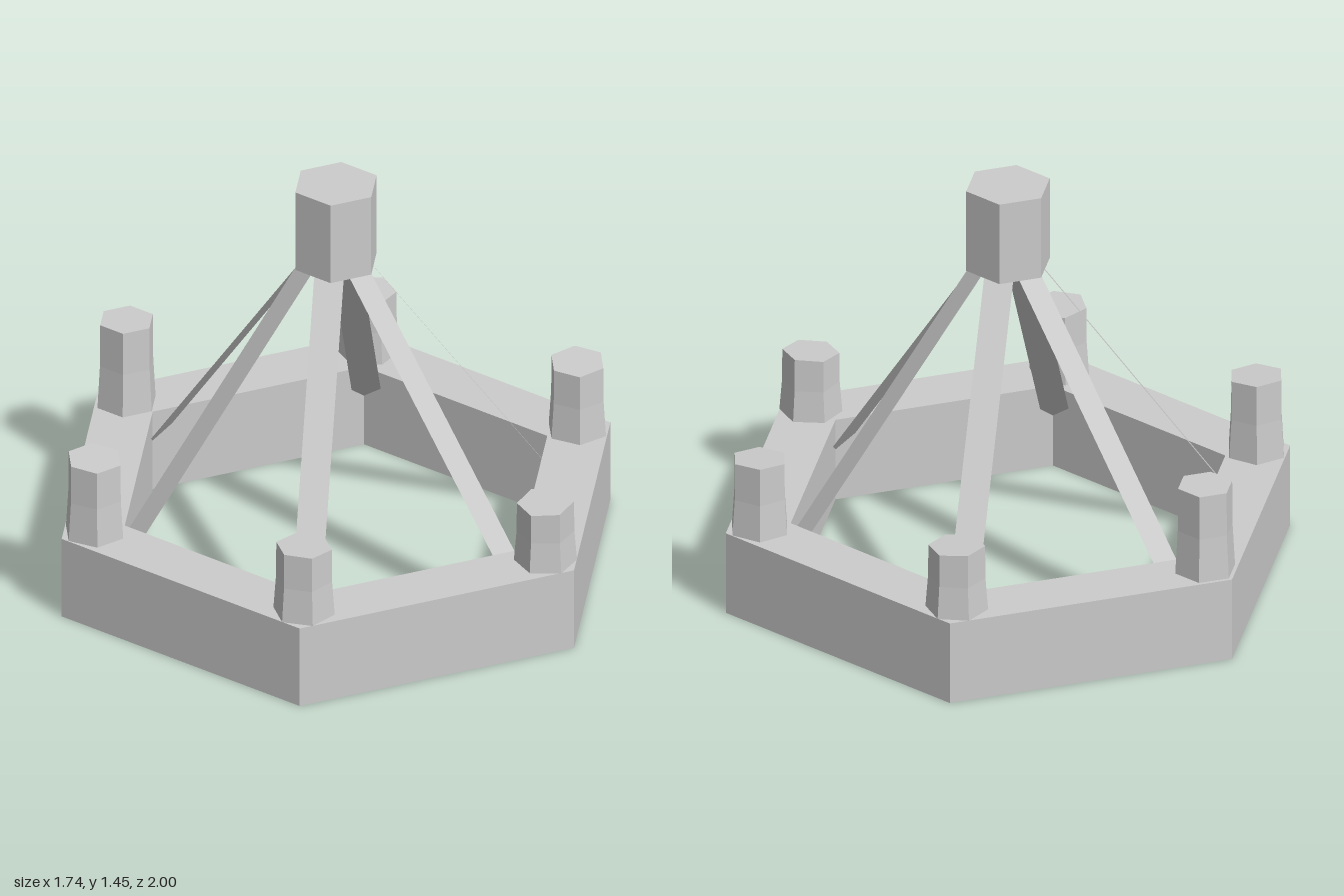
import * as THREE from 'three';

const material = new THREE.MeshStandardMaterial({ color: 0xcccccc, flatShading: true });
const thinMaterial = new THREE.MeshStandardMaterial({ color: 0xcccccc, flatShading: true, side: THREE.DoubleSide });

const SIDES = 6;
const RING_HEIGHT = 0.3;

function addMesh(parent, name, geometry, mat = material) {
  const mesh = new THREE.Mesh(geometry, mat);
  mesh.name = name;
  parent.add(mesh);
  return mesh;
}

// Six-sided candle: flared lower half, straight upper half, slightly slanted top
function candleGeometry(height, slopeX, slopeZ) {
  const geo = new THREE.CylinderGeometry(0.096, 0.106, height, SIDES, 2);
  geo.translate(0, height / 2, 0);
  const p = geo.attributes.position;
  for (let i = 0; i < p.count; i++) {
    const t = p.getY(i) / height;
    if (t > 0.4 && t < 0.6) {
      const k = 0.097 / 0.101;
      p.setX(i, p.getX(i) * k);
      p.setZ(i, p.getZ(i) * k);
    }
    if (t > 0.9) p.setY(i, height + p.getX(i) * slopeX + p.getZ(i) * slopeZ);
  }
  return geo;
}

export function createModel() {
  const model = new THREE.Group();
  model.name = 'chandelier';

  // Hexagonal ring with a square-cut section
  const section = [[0.77, 0], [1, 0], [1, RING_HEIGHT], [0.77, RING_HEIGHT], [0.77, 0]];
  addMesh(model, 'ring', new THREE.LatheGeometry(section.map(([r, y]) => new THREE.Vector2(r, y)), SIDES));

  // Hexagonal hub at the top
  addMesh(model, 'hub', new THREE.CylinderGeometry(0.148, 0.148, 0.3, SIDES)).position.y = 1.3;

  // Flat straps from the hub into the ring corners
  const top = { r: 0.04, y: 1.24 };
  const foot = { r: 0.88, y: 0.03 };
  const run = foot.r - top.r;
  const rise = top.y - foot.y;
  const strapGeo = new THREE.PlaneGeometry(0.1, Math.hypot(run, rise));
  strapGeo.rotateX(-Math.atan2(run, rise));
  strapGeo.translate(-0.011, (top.y + foot.y) / 2, (top.r + foot.r) / 2);
  for (let i = 0; i < SIDES; i++) {
    addMesh(model, 'strap', strapGeo, thinMaterial).rotation.y = (i * Math.PI) / 3;
  }

  // Candles, counted from the front towards +x: top height, turn in degrees, slope of the top in x and z
  const candles = [
    [0.523, 37, 0.07, 0],
    [0.563, 12, 0.05, -0.04],
    [0.535, 34, 0, -0.05],
    [0.618, 0, 0, 0],
    [0.585, 12, 0.02, -0.05],
    [0.552, 23, -0.05, 0],
  ];
  candles.forEach(([height, turn, slopeX, slopeZ], i) => {
    const angle = (i * Math.PI) / 3;
    const spin = THREE.MathUtils.degToRad(turn);
    // Slope is given in model axes, so turn it into the candle's own axes
    const sx = slopeX * Math.cos(spin) - slopeZ * Math.sin(spin);
    const sz = slopeX * Math.sin(spin) + slopeZ * Math.cos(spin);
    const candle = addMesh(model, 'candle', candleGeometry(height - RING_HEIGHT, sx, sz));
    candle.position.set(0.88 * Math.sin(angle), RING_HEIGHT, 0.88 * Math.cos(angle));
    candle.rotation.y = spin;
  });

  return model;
}
